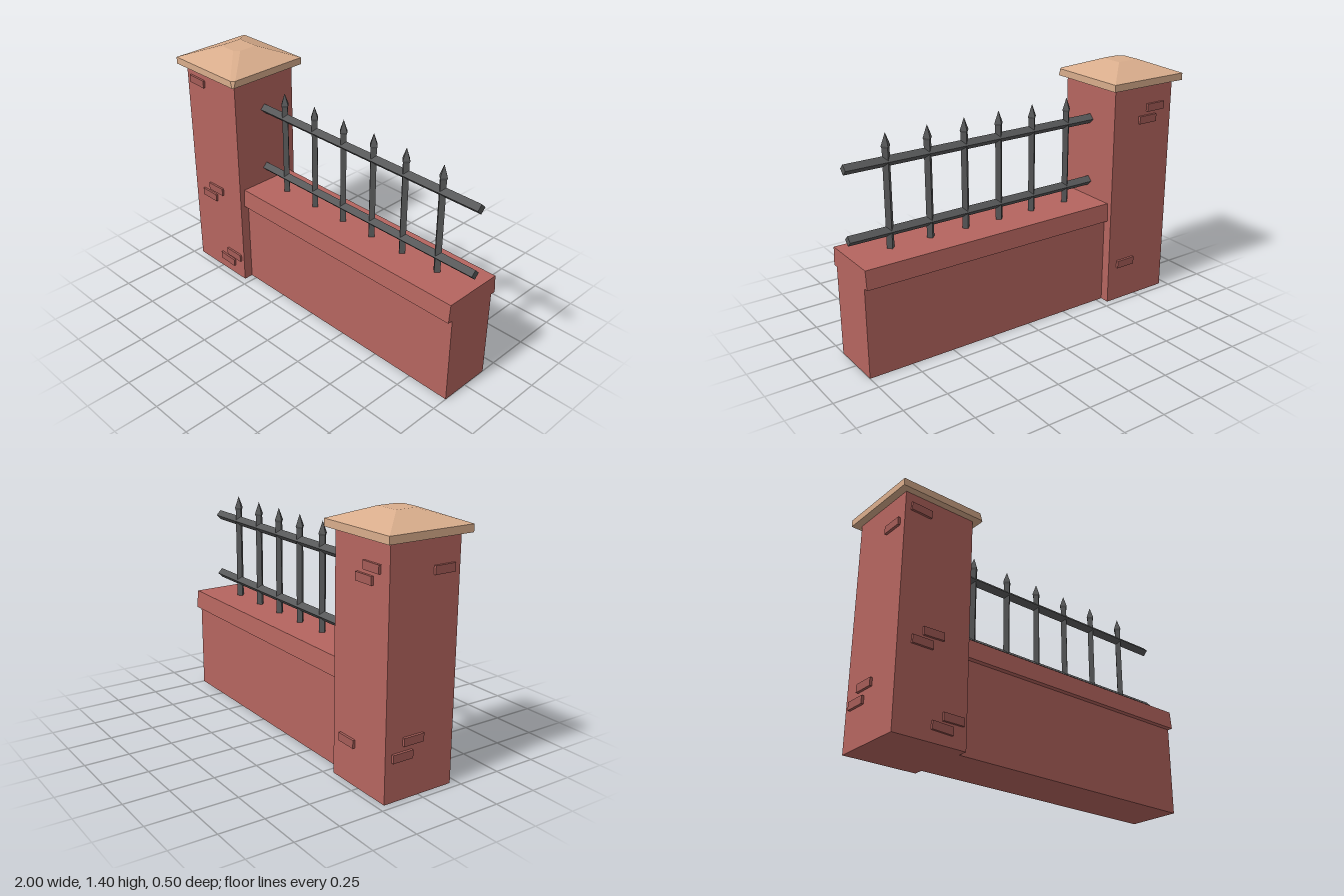
import * as THREE from 'three';
import { ConvexGeometry } from 'three/addons/geometries/ConvexGeometry.js';

const mat = (color) => new THREE.MeshStandardMaterial({ color, flatShading: true });

export function createModel() {
  const model = new THREE.Group();
  const brick = mat(0xb5655f), patch = mat(0xa55c57), stone = mat(0xd9ad8c), iron = mat(0x58595a);

  const add = (name, geometry, material, x = 0, y = 0, z = 0, parent = model) => {
    const mesh = new THREE.Mesh(geometry, material);
    mesh.name = name;
    mesh.position.set(x, y, z);
    parent.add(mesh);
    return mesh;
  };

  // Square pillar
  const pillarX = -0.75;
  add('pillar', new THREE.BoxGeometry(0.42, 1.29, 0.42), brick, pillarX, 0.645, 0);

  // Cap: thin rim and truncated pyramid, with chipped corners
  const capPoints = [];
  const ring = (r, y, corners) => corners.forEach(([x, z]) => capPoints.push(new THREE.Vector3(x * r, y, z * r)));
  ring(0.25, 1.29, [[-1, -1], [1, -1], [-1, 1], [1, 0.97], [0.97, 1]]);
  ring(0.25, 1.33, [[-1, -1], [1, -1], [-1, 1], [1, 0.92], [0.92, 1]]);
  ring(0.07, 1.4, [[-1, -1], [1, -1], [-1, 0.6], [-0.6, 1], [1, 0.6], [0.6, 1]]);
  add('pillarCap', new ConvexGeometry(capPoints), stone, pillarX, 0, 0);

  // Low wall with an overhanging coping, extruded along x
  const half = [[0.155, 0], [0.155, 0.51], [0.185, 0.51], [0.176, 0.615]];
  const profile = [...half, ...half.map(([x, y]) => [-x, y]).reverse()];
  const wallShape = new THREE.Shape(profile.map(([x, y]) => new THREE.Vector2(x, y)));
  const wall = new THREE.ExtrudeGeometry(wallShape, { depth: 1.54, bevelEnabled: false });
  wall.rotateY(Math.PI / 2);
  add('wall', wall, brick, -0.54, 0, 0);

  // Raised bricks: face, position along the face, height, tilt
  const bricks = new THREE.Group();
  bricks.name = 'raisedBricks';
  model.add(bricks);
  [
    ['front', -0.865, 1.213, -0.03], ['front', -0.757, 0.55, 0.03], ['front', -0.82, 0.487, 0],
    ['front', -0.623, 0.142, 0], ['front', -0.685, 0.083, -0.04],
    ['back', -0.835, 1.155, 0], ['back', -0.78, 1.09, 0], ['back', -0.66, 0.23, 0],
    ['side', 0.11, 1.13, 0], ['side', -0.045, 0.307, 0], ['side', -0.11, 0.235, 0],
  ].forEach(([face, along, y, tilt]) => {
    const geometry = new THREE.BoxGeometry(0.122, 0.044, 0.04);
    geometry.rotateZ(tilt);
    if (face === 'side') {
      geometry.rotateY(Math.PI / 2);
      add('sideBrick', geometry, patch, -0.954, y, along, bricks);
    } else {
      add(face + 'Brick', geometry, patch, along, y, face === 'front' ? 0.202 : -0.204, bricks);
    }
  });

  // Railing: two diamond-section rails and six spear-tipped bars
  const railing = new THREE.Group();
  railing.name = 'railing';
  model.add(railing);
  for (const y of [0.708, 1.082]) {
    const rail = new THREE.CylinderGeometry(0.028, 0.028, 1.54, 4);
    rail.rotateZ(Math.PI / 2);
    add('rail', rail, iron, 0.23, y, 0, railing);
  }
  const barProfile = [[0.022, 0.6], [0.022, 1.15], [0.027, 1.162], [0, 1.23]]
    .map(([r, y]) => new THREE.Vector2(r, y));
  const bar = new THREE.LatheGeometry(barProfile, 4);
  for (const x of [-0.365, -0.128, 0.092, 0.308, 0.528, 0.765]) add('bar', bar, iron, x, 0, 0, railing);

  return model;
}
